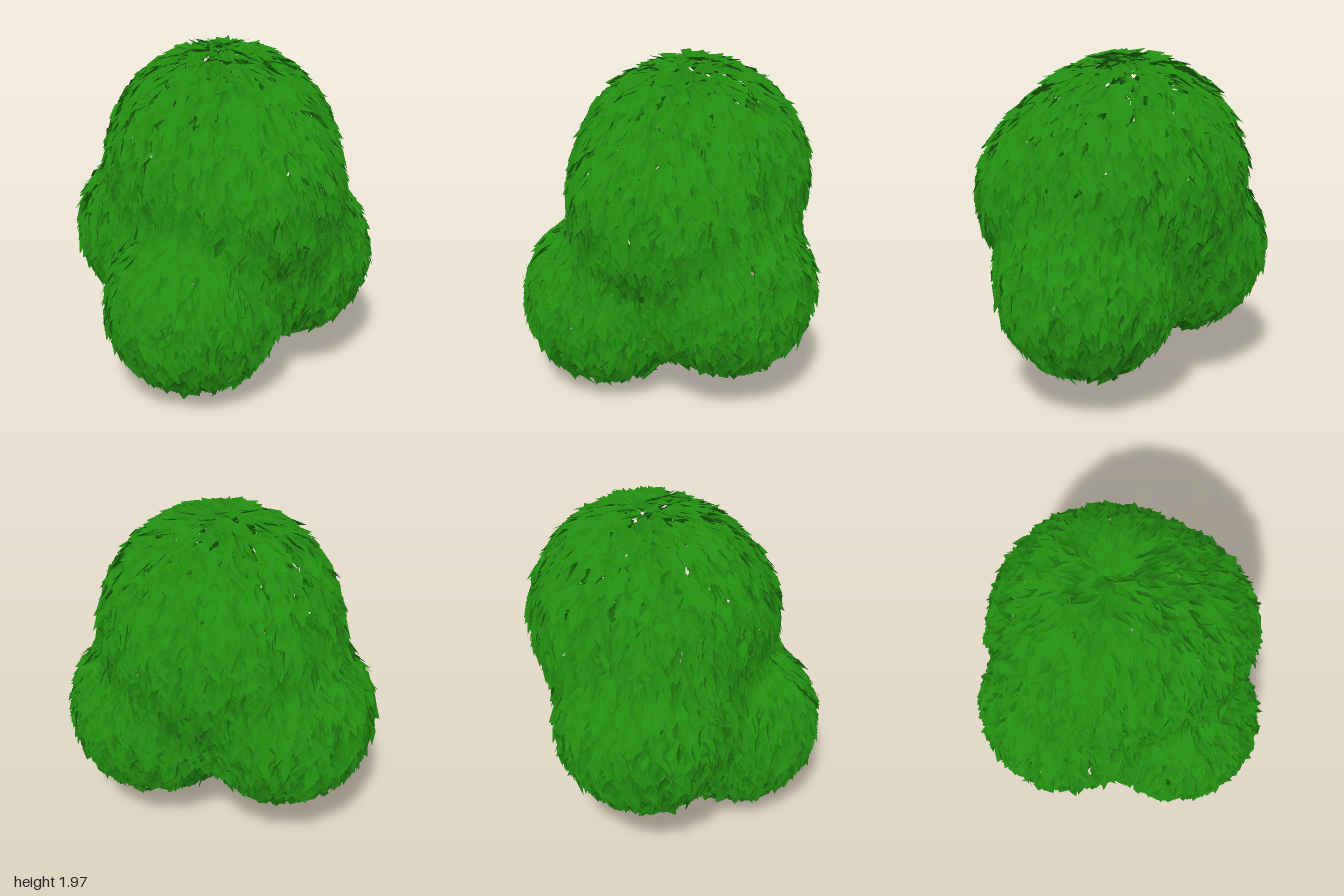
import * as THREE from 'three';

// Round lobes that melt together into one bush: centre and radius
const LOBES = [
  { name: 'crownFoliage', at: [0.015, 1.29, -0.165], radius: 0.66 },
  { name: 'shoulderFoliage', at: [0.2, 1.17, 0.1], radius: 0.52 },
  { name: 'frontFoliage', at: [-0.075, 0.56, 0.32], radius: 0.49 },
  { name: 'leftFoliage', at: [0.385, 0.715, -0.2], radius: 0.495 },
  { name: 'rightFoliage', at: [-0.36, 0.81, -0.25], radius: 0.5 },
].map((lobe) => ({ ...lobe, at: new THREE.Vector3(...lobe.at) }));
const BLEND = 0.05;
const LEAVES_PER_AREA = 660;

// One pointed leaf with a slightly sunken midrib: x across, y to the tip, z outward
const BASE = [0, 0, 0], RIGHT = [0.5, 0.42, 0], LEFT = [-0.5, 0.42, 0], RIB = [0, 0.45, -0.07], TIP = [0, 1, 0];
const LEAF = [BASE, RIGHT, RIB, BASE, RIB, LEFT, RIGHT, TIP, RIB, RIB, TIP, LEFT];

function seeded(seed) {
  return () => {
    seed = (seed + 0x6d2b79f5) | 0;
    let t = Math.imul(seed ^ (seed >>> 15), 1 | seed);
    t = (t + Math.imul(t ^ (t >>> 7), 61 | t)) ^ t;
    return ((t ^ (t >>> 14)) >>> 0) / 4294967296;
  };
}

// Distance to the blended surface at a point; writes the outward normal
function blendedDistance(point, normal) {
  let sum = 0;
  normal.set(0, 0, 0);
  for (const { at, radius } of LOBES) {
    const offset = point.clone().sub(at);
    const weight = Math.exp((radius - offset.length()) / BLEND);
    sum += weight;
    normal.addScaledVector(offset.normalize(), weight);
  }
  normal.normalize();
  return -BLEND * Math.log(sum);
}

// Leaves spread over the exposed part of a lobe, hanging down like shingles
function foliage(lobe, rand) {
  const jitter = (amount) => (rand() * 2 - 1) * amount;
  const count = Math.round(LEAVES_PER_AREA * 4 * Math.PI * lobe.radius ** 2);
  const others = LOBES.filter((other) => other !== lobe);
  const positions = [];
  const m = new THREE.Matrix4(), v = new THREE.Vector3(), normal = new THREE.Vector3();
  for (let i = 0; i < count; i++) {
    const h = THREE.MathUtils.clamp(1 - (2 * (i + 0.5)) / count + jitter(0.03), -0.9995, 0.9995);
    const angle = i * 2.39996 + jitter(0.1);
    const r = Math.sqrt(1 - h * h);
    const base = new THREE.Vector3(r * Math.cos(angle), h, r * Math.sin(angle));
    base.multiplyScalar(lobe.radius).add(lobe.at);
    if (others.some((other) => base.distanceTo(other.at) < other.radius - 0.015)) continue;

    // Move out onto the blended surface
    for (let step = 0; step < 3; step++) {
      const distance = blendedDistance(base, normal);
      base.addScaledVector(normal, -distance);
    }

    // Hang downward, swing aside a little, lift the tip and roll
    const down = new THREE.Vector3(0, -1, 0).addScaledVector(normal, normal.y).normalize();
    down.applyAxisAngle(normal, jitter(0.55));
    const lift = -0.02 + rand() * 0.44;
    const along = down.multiplyScalar(Math.cos(lift)).addScaledVector(normal, Math.sin(lift));
    const across = along.clone().cross(normal).normalize().applyAxisAngle(along, jitter(0.7));
    const out = across.clone().cross(along);
    const length = 0.115 + rand() * 0.05;
    const width = 0.062 + rand() * 0.025;

    base.addScaledVector(normal, jitter(0.015)).addScaledVector(along, -0.4 * length);
    m.makeBasis(across.multiplyScalar(width), along.multiplyScalar(length), out.multiplyScalar(width));
    m.setPosition(base);
    for (const p of LEAF) {
      v.fromArray(p).applyMatrix4(m);
      positions.push(v.x, v.y, v.z);
    }
  }
  const geometry = new THREE.BufferGeometry();
  geometry.setAttribute('position', new THREE.Float32BufferAttribute(positions, 3));
  geometry.computeVertexNormals();
  return geometry;
}

export function createModel() {
  const group = new THREE.Group();
  group.name = 'bush';
  const material = new THREE.MeshStandardMaterial({ color: 0x228b10, side: THREE.DoubleSide });
  const rand = seeded(7);
  for (const lobe of LOBES) {
    const mesh = new THREE.Mesh(foliage(lobe, rand), material);
    mesh.name = lobe.name;
    group.add(mesh);
  }
  return group;
}
